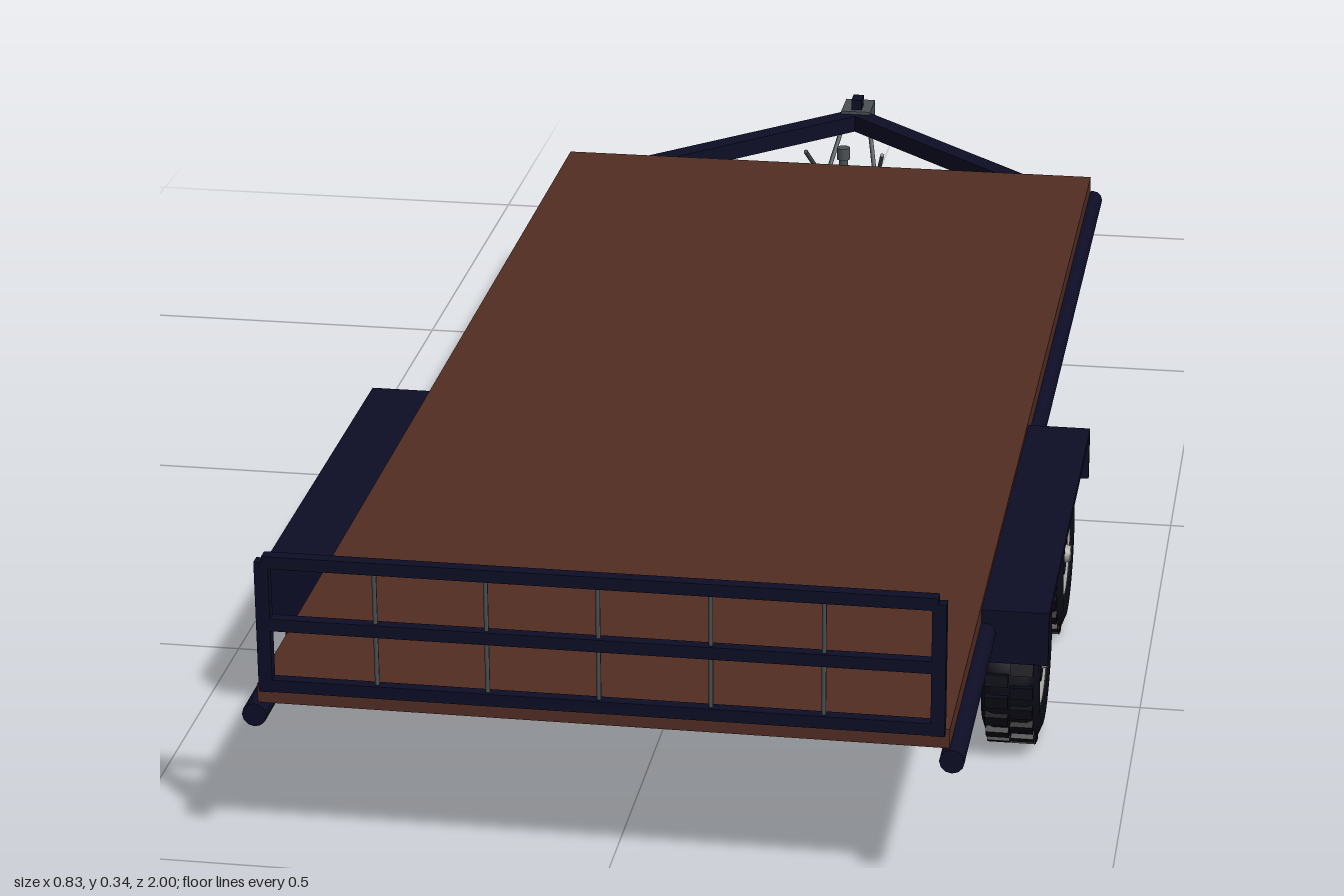
import * as THREE from 'three';

const mat = (name, color, side = THREE.FrontSide) => {
  const m = new THREE.MeshStandardMaterial({ color, side });
  m.name = name;
  return m;
};

export function createModel() {
  const root = new THREE.Group();
  root.name = 'flatbedTrailer';
  const navy = mat('navy paint', 0x0d0d26);
  const wood = mat('brown deck', 0x522d23);
  const rubber = mat('tyre rubber', 0x0b0b16, THREE.DoubleSide);
  const steel = mat('dark steel', 0x4a5054);
  const rimGrey = mat('rim grey', 0xa3a69c);

  const add = (name, geo, m, x = 0, y = 0, z = 0, parent = root) => {
    const mesh = new THREE.Mesh(geo, m);
    mesh.name = name;
    mesh.position.set(x, y, z);
    parent.add(mesh);
    return mesh;
  };
  const box = (name, m, w, h, d, x, y, z, parent) =>
    add(name, new THREE.BoxGeometry(w, h, d), m, x, y, z, parent);
  // round bar between two points
  const rod = (name, m, a, b, r, sides = 8) => {
    const p = new THREE.Vector3(...a), q = new THREE.Vector3(...b);
    const dir = q.clone().sub(p);
    const mesh = add(name, new THREE.CylinderGeometry(r, r, dir.length(), sides), m);
    mesh.position.copy(p).add(q).multiplyScalar(0.5);
    mesh.quaternion.setFromUnitVectors(new THREE.Vector3(0, 1, 0), dir.normalize());
  };

  // deck and frame
  box('deck', wood, 0.69, 0.02, 1.66, 0, 0.189, 0.16);
  for (const s of [-1, 1]) rod('sideRail', navy, [s * 0.348, 0.167, -0.672], [s * 0.348, 0.167, 0.995], 0.0125, 12);
  for (const z of [-0.62, -0.27, 0.08, 0.43, 0.77])
    box('crossMember', navy, 0.68, 0.022, 0.02, 0, 0.167, z);

  // front gate
  const gz = 0.993;
  for (const s of [-1, 1]) box('gatePost', navy, 0.014, 0.14, 0.012, s * 0.334, 0.265, gz);
  box('gateTopRail', navy, 0.666, 0.013, 0.013, 0, 0.335, gz);
  box('gateMiddleRail', navy, 0.66, 0.013, 0.012, 0, 0.268, gz);
  box('gateBottomRail', navy, 0.66, 0.013, 0.012, 0, 0.202, gz);
  for (let i = -2; i <= 2; i++)
    add('gateBar', new THREE.CylinderGeometry(0.0025, 0.0025, 0.13, 6), steel, i * 0.111, 0.268, gz);

  // wheel, built around the y axis with its outer face up
  const tyreProfile = [
    [0.048, -0.024], [0.055, -0.029], [0.07, -0.031], [0.08, -0.027], [0.085, -0.018],
    [0.085, 0.018], [0.08, 0.027], [0.07, 0.031], [0.055, 0.029], [0.048, 0.024], [0.048, -0.024],
  ].map(p => new THREE.Vector2(...p));
  const rimProfile = [
    [0, -0.018], [0.049, -0.022], [0.051, 0.027], [0.046, 0.028], [0.041, 0.018], [0.028, 0.02], [0, 0.02],
  ].map(p => new THREE.Vector2(...p));
  const makeWheel = () => {
    const wheel = new THREE.Group();
    wheel.name = 'wheel';
    add('tyre', new THREE.LatheGeometry(tyreProfile, 32), rubber, 0, 0, 0, wheel);
    add('rim', new THREE.LatheGeometry(rimProfile, 32), rimGrey, 0, 0, 0, wheel);
    add('hub', new THREE.CylinderGeometry(0.024, 0.026, 0.008, 20), navy, 0, 0.023, 0, wheel);
    add('hubCap', new THREE.CylinderGeometry(0.009, 0.011, 0.008, 12), rimGrey, 0, 0.029, 0, wheel);
    add('stubAxle', new THREE.CylinderGeometry(0.014, 0.014, 0.03, 12), navy, 0, -0.028, 0, wheel);
    // staggered tread blocks and bolts
    const lugs = 22;
    for (let i = 0; i < lugs * 2; i++) {
      const a = (i / (lugs * 2)) * Math.PI * 2, side = i % 2 ? 1 : -1;
      const lug = box('treadBlock', rubber, 0.01, 0.024, 0.013,
        Math.cos(a) * 0.0855, side * 0.013, Math.sin(a) * 0.0855, wheel);
      lug.rotation.y = -a;
    }
    for (let i = 0; i < 8; i++) {
      const a = (i / 8) * Math.PI * 2;
      add('rimHole', new THREE.CylinderGeometry(0.003, 0.003, 0.004, 8), steel,
        Math.cos(a) * 0.034, 0.019, Math.sin(a) * 0.034, wheel);
    }
    return wheel;
  };

  for (const s of [-1, 1]) {
    for (const z of [0.305, 0.585]) {
      const wheel = makeWheel();
      wheel.rotation.z = -s * Math.PI / 2;
      wheel.position.set(s * 0.373, 0.0915, z);
      root.add(wheel);
      rod('axlePin', steel, [s * 0.334, 0.12, z], [s * 0.36, 0.12, z], 0.003);
    }
    // mudguard: top plate with end flaps and brackets
    box('fenderTop', navy, 0.08, 0.008, 0.51, s * 0.375, 0.19, 0.44);
    for (const e of [-1, 1]) {
      box('fenderFlap', navy, 0.08, 0.058, 0.006, s * 0.375, 0.164, 0.44 + e * 0.252);
      box('fenderBracket', navy, 0.03, 0.012, 0.012, s * 0.355, 0.176, 0.44 + e * 0.21);
    }
    box('fenderMount', navy, 0.012, 0.03, 0.4, s * 0.34, 0.172, 0.44);

    // drawbar beam
    const a = new THREE.Vector3(s * 0.305, 0.167, -0.66), b = new THREE.Vector3(0, 0.167, -0.955);
    const beam = box('drawbarBeam', navy, 0.026, 0.022, a.distanceTo(b), 0, 0, 0);
    beam.position.copy(a).add(b).multiplyScalar(0.5);
    beam.lookAt(b);

    // hanging safety chain
    const pts = [[s * 0.018, 0.16, -0.955], [s * 0.035, 0.097, -0.895], [s * 0.052, 0.162, -0.825]];
    rod('safetyChain', steel, pts[0], pts[1], 0.003, 6);
    rod('safetyChain', steel, pts[1], pts[2], 0.003, 6);
  }

  // coupler
  box('coupler', steel, 0.04, 0.026, 0.055, 0, 0.169, -0.9725);
  box('couplerLatch', navy, 0.014, 0.016, 0.025, 0, 0.188, -0.965);

  // parking jack
  add('jackPost', new THREE.CylinderGeometry(0.006, 0.006, 0.125, 12), steel, 0, 0.105, -0.82);
  add('jackHead', new THREE.CylinderGeometry(0.009, 0.009, 0.016, 12), steel, 0, 0.164, -0.82);
  add('jackFoot', new THREE.CylinderGeometry(0.02, 0.02, 0.006, 20), steel, 0, 0.04, -0.82);

  return root;
}
